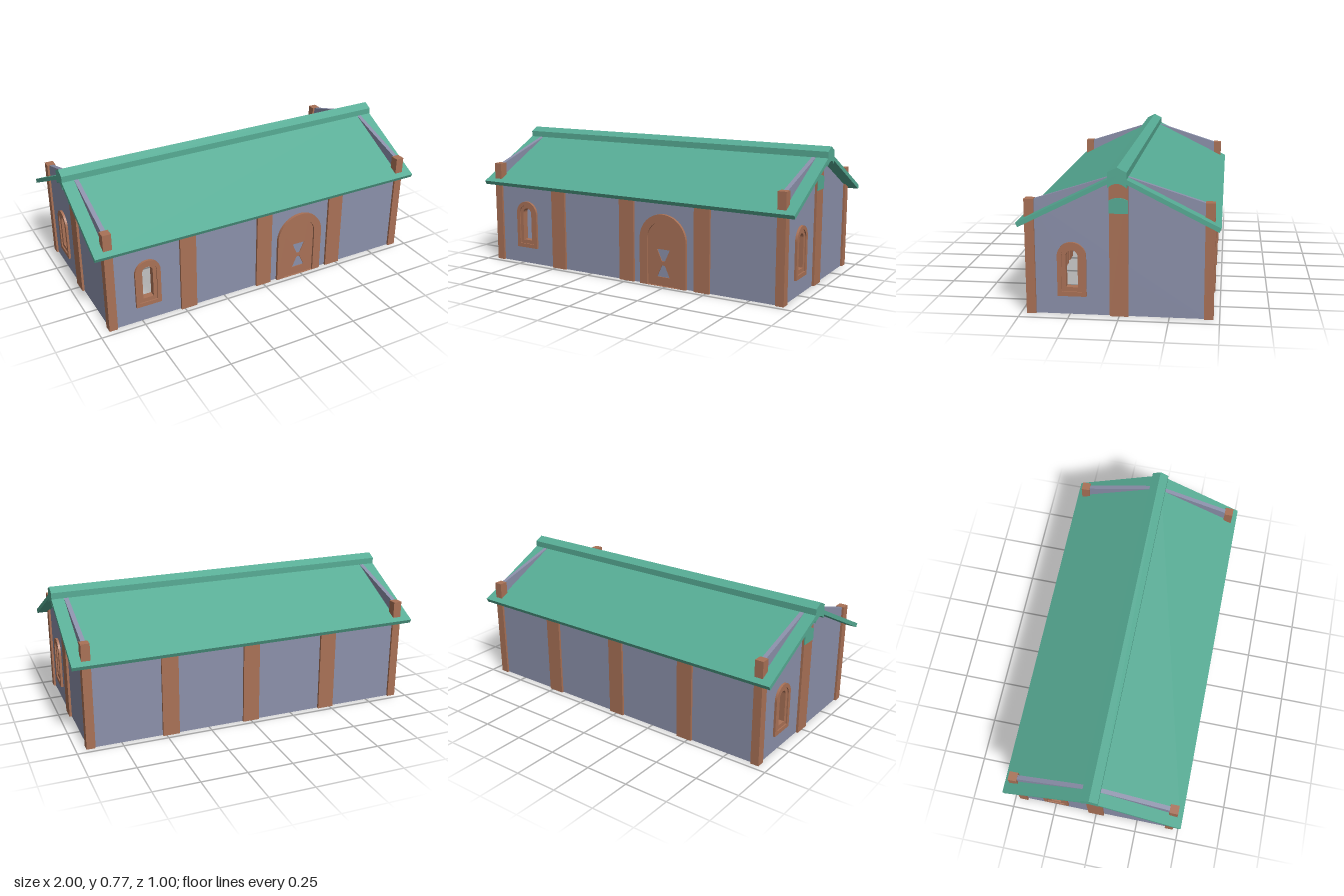
import * as THREE from 'three';

const mat = (name, color) => Object.assign(new THREE.MeshStandardMaterial({ color }), { name });

export function createModel() {
  const wall = mat('wall slate', 0x8b90aa);
  const timber = mat('timber brown', 0xa97156);
  const tile = mat('roof green', 0x56ab94);
  const model = new THREE.Group();
  model.name = 'longHouse';

  const add = (parent, name, geometry, material, x = 0, y = 0, z = 0) => {
    const mesh = new THREE.Mesh(geometry, material);
    mesh.name = name;
    mesh.position.set(x, y, z);
    parent.add(mesh);
    return mesh;
  };
  const polygon = (points) => new THREE.Shape(points.map(([x, y]) => new THREE.Vector2(x, y)));
  // Round-topped outline
  const arch = (x, half, bottom, top) => {
    const s = new THREE.Shape();
    s.moveTo(x - half, bottom);
    s.lineTo(x + half, bottom);
    s.lineTo(x + half, top - half);
    s.absarc(x, top - half, half, 0, Math.PI, false);
    s.closePath();
    return s;
  };
  // Plate centred on z = 0
  const plate = (shape, depth, holes = []) => {
    shape.holes.push(...holes);
    return new THREE.ExtrudeGeometry(shape, { depth, bevelEnabled: false, curveSegments: 12 })
      .translate(0, 0, -depth / 2);
  };
  const post = (parent, name, x, z, w, h, d = 0.05) =>
    add(parent, name, new THREE.BoxGeometry(w, h, d), timber, x, h / 2, z);
  // Stepped window surround with an open middle
  const windowFrame = (parent, x, z) => {
    add(parent, 'windowOuterFrame', plate(arch(x, 0.073, 0.097, 0.377), 0.05, [arch(x, 0.051, 0.12, 0.355)]), timber, 0, 0, z);
    add(parent, 'windowInnerFrame', plate(arch(x, 0.051, 0.12, 0.355), 0.036, [arch(x, 0.03, 0.143, 0.335)]), timber, 0, 0, z);
  };
  const opening = (x) => arch(x, 0.05, 0.121, 0.354);
  const rectangle = (w, h) => polygon([[-w, 0], [w, 0], [w, h], [-w, h]]);

  // Long walls with their posts
  const zWall = 0.446;
  for (const side of [1, -1]) {
    const longWall = new THREE.Group();
    longWall.name = side > 0 ? 'frontWall' : 'backWall';
    model.add(longWall);
    add(longWall, 'wallPanel', plate(rectangle(0.91, 0.475), 0.024, side > 0 ? [opening(-0.71)] : []),
      wall, 0, 0, side * zWall);
    for (const x of [-0.473, 0, 0.473]) post(longWall, 'wallPost', x, side * zWall, 0.094, 0.475);
    for (const x of [-0.92, 0.92]) post(longWall, 'cornerPost', x, side * zWall, 0.048, 0.592, 0.048);
  }
  windowFrame(model, -0.71, zWall);

  // Door: arched frame and a panel with two cut-out triangles
  const dx = 0.235;
  add(model, 'doorFrame', plate(arch(dx, 0.145, 0, 0.402), 0.056, [arch(dx, 0.097, 0.001, 0.36)]), timber, 0, 0, zWall);
  const cutouts = [
    polygon([[dx - 0.04, 0.206], [dx - 0.01, 0.14], [dx + 0.01, 0.14], [dx + 0.04, 0.206]]),
    polygon([[dx - 0.04, 0.05], [dx + 0.04, 0.05], [dx + 0.01, 0.116], [dx - 0.01, 0.116]]),
  ];
  add(model, 'doorPanel', plate(arch(dx, 0.097, 0, 0.36), 0.034, cutouts), timber, 0, 0, zWall);

  // Gable ends, turned about the centre
  for (const side of [1, -1]) {
    const gable = new THREE.Group();
    gable.name = side > 0 ? 'leftGable' : 'rightGable';
    gable.rotation.y = side * Math.PI / 2;
    model.add(gable);
    const outline = polygon([[-0.44, 0], [0.44, 0], [0.44, 0.585], [0.047, 0.71], [-0.047, 0.71], [-0.44, 0.585]]);
    add(gable, 'gablePanel', plate(outline, 0.024, [opening(-0.237)]), wall, 0, 0, 0.92);
    post(gable, 'gablePost', 0, 0.92, 0.094, 0.7);
    windowFrame(gable, -0.237, 0.92);
    // Green arched band on the post
    const band = polygon([[-0.047, 0.53], [0.047, 0.53], [0.047, 0.595]]);
    band.quadraticCurveTo(0, 0.622, -0.047, 0.595);
    add(gable, 'postBand', plate(band, 0.006), tile, 0, 0, 0.946);
  }

  // Roof slopes and ridge cap run along x
  for (const side of [1, -1]) {
    const points = [[0.5, 0.484], [0.49, 0.463], [0, 0.709], [0, 0.733]].map(([z, y]) => [side * z, y]);
    add(model, 'roofSlope', plate(polygon(points), 2).rotateY(Math.PI / 2), tile);
  }
  const cap = polygon([[0.047, 0.667], [0.047, 0.744], [0, 0.768], [-0.047, 0.744], [-0.047, 0.667]]);
  cap.quadraticCurveTo(0, 0.712, 0.047, 0.667);
  add(model, 'ridgeCap', plate(cap, 2).rotateY(Math.PI / 2), tile);

  // Ceiling seen from below only
  add(model, 'ceiling', new THREE.PlaneGeometry(1.99, 0.96).rotateX(Math.PI / 2), wall, 0, 0.474, 0);
  return model;
}
